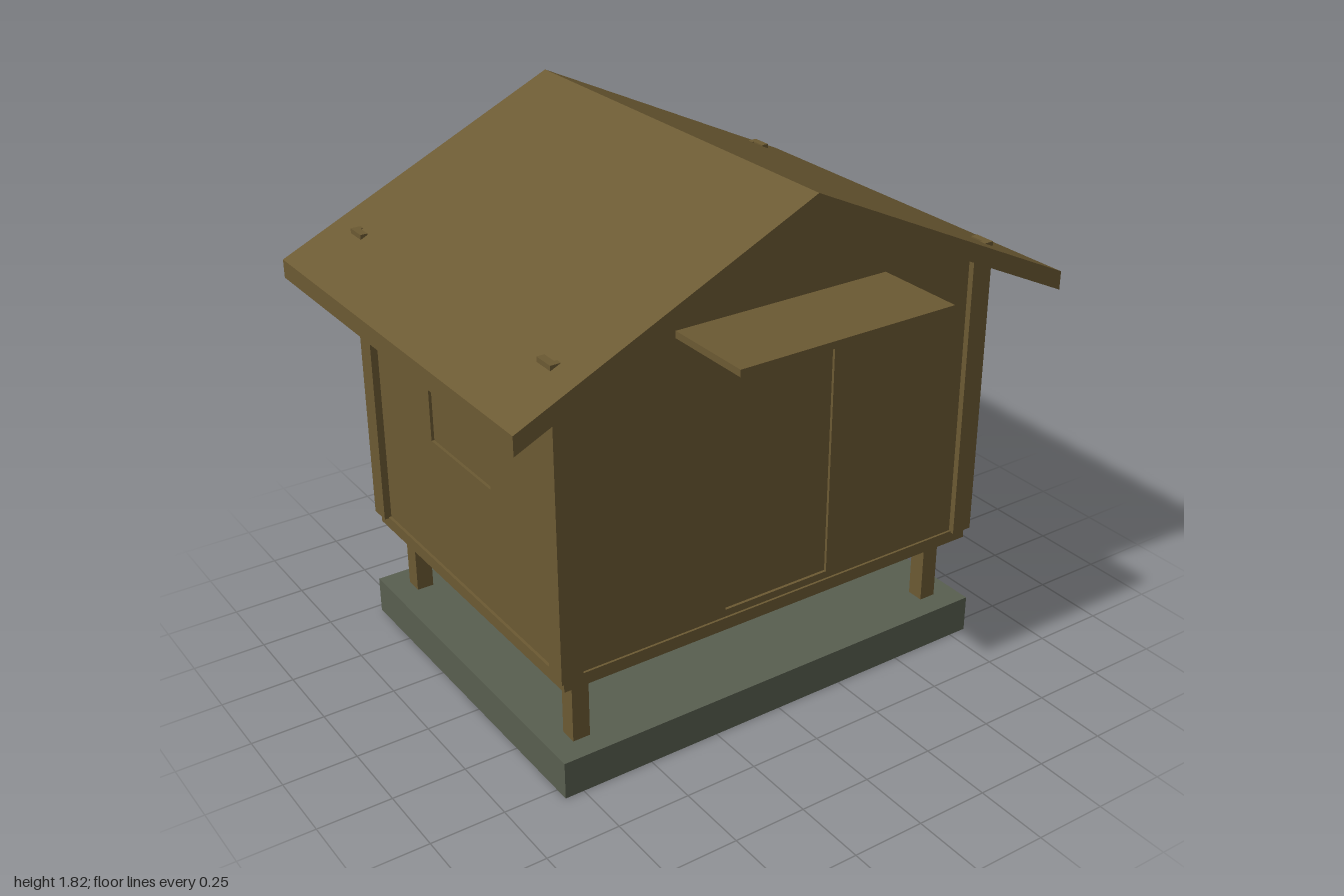
import * as THREE from 'three';

export function createModel() {
  const model = new THREE.Group();
  model.name = 'raisedHut';
  const wood = new THREE.MeshStandardMaterial({ color: 0x6c5a33 });
  wood.name = 'brown wood';
  const stone = new THREE.MeshStandardMaterial({ color: 0x595f50 });
  stone.name = 'grey green stone';

  // Box given by its limits on each axis
  function box(name, [x0, x1], [y0, y1], [z0, z1], material = wood) {
    const mesh = new THREE.Mesh(new THREE.BoxGeometry(x1 - x0, y1 - y0, z1 - z0), material);
    mesh.position.set((x0 + x1) / 2, (y0 + y1) / 2, (z0 + z1) / 2);
    mesh.name = name;
    model.add(mesh);
  }

  // Outline in x and y, extruded along z, with an optional opening
  const toVectors = (points) => points.map(([x, y]) => new THREE.Vector2(x, y));
  function prism(name, points, z0, z1, opening) {
    const shape = new THREE.Shape(toVectors(points));
    if (opening) shape.holes.push(new THREE.Path(toVectors(opening)));
    const geometry = new THREE.ExtrudeGeometry(shape, { depth: z1 - z0, bevelEnabled: false });
    geometry.translate(0, 0, z0);
    const mesh = new THREE.Mesh(geometry, wood);
    mesh.name = name;
    model.add(mesh);
    return mesh;
  }
  const rect = (halfWidth, y0, y1) =>
    [[-halfWidth, y0], [halfWidth, y0], [halfWidth, y1], [-halfWidth, y1]];

  const wallX = 0.785, front = 0.522, back = -0.687, middle = -0.083;
  const outX = 0.81, outFront = 0.543, outBack = -0.71;
  const recess = 0.01;

  // Foundation: a plate on four rim walls, open below
  box('foundationTop', [-0.815, 0.815], [0.122, 0.13], [-0.72, 0.55], stone);
  box('foundationFront', [-0.815, 0.815], [0, 0.122], [0.542, 0.55], stone);
  box('foundationBack', [-0.815, 0.815], [0, 0.122], [-0.72, -0.712], stone);
  box('floor', [-0.795, 0.795], [0.372, 0.415], [-0.695, 0.53]);

  // Wall core, whose faces form the door and the window panes
  const gable = (w) => [[-w, 0.415], [w, 0.415], [w, 1.755 - 0.465 * w], [0, 1.755], [-w, 1.755 - 0.465 * w]];
  const windowOpening = rect(0.193, 0.865, 1.275);
  prism('wallCore', gable(wallX - recess), back + recess, front - recess);

  // Wall boarding with openings for the door and windows
  prism('frontWall', gable(wallX), front - recess, front, rect(0.2, 0.44, 1.345));
  prism('backWall', gable(wallX), back, back + recess, windowOpening);

  // Roof
  prism('roof', [[-1, 1.287], [0, 1.755], [1, 1.287], [1, 1.35], [0, 1.817], [-1, 1.35]], -0.833, 0.665);

  for (const s of [-1, 1]) {
    const side = (a, b) => (s > 0 ? [a, b] : [-b, -a]);
    box('foundationSide', side(0.807, 0.815), [0, 0.122], [-0.712, 0.542], stone);

    // Legs run down through the foundation
    for (const z of [[0.41, 0.47], [-0.638, -0.576]]) {
      box('leg', side(0.675, 0.735), [0, 0.375], z);
    }

    // Side wall with its window and head board
    const wall = prism('sideWall', rect((front - back) / 2, 0.415, 1.385), wallX - recess, wallX, windowOpening);
    wall.rotation.y = s * Math.PI / 2;
    wall.position.z = middle;
    box('sideWindowHead', side(wallX, 0.815), [1.279, 1.335], [middle - 0.25, middle + 0.25]);

    // Corner boards, two at each corner
    box('frontCornerBoard', side(0.735, outX), [0.41, 1.455], [front, outFront]);
    box('backCornerBoard', side(0.735, outX), [0.41, 1.455], [outBack, back]);
    box('sideCornerBoard', side(wallX, outX), [0.41, 1.455], [0.47, front]);
    box('sideCornerBoard', side(wallX, outX), [0.41, 1.455], [back, -0.637]);
  }

  // Head boards and canopy on the gable ends
  box('backWindowHead', [-0.25, 0.25], [1.279, 1.335], [-0.718, back]);
  box('doorLintel', [-0.28, 0.28], [1.357, 1.418], [front, 0.548]);
  box('doorCanopy', [-0.387, 0.387], [1.42, 1.443], [front, 0.833]);

  return model;
}
